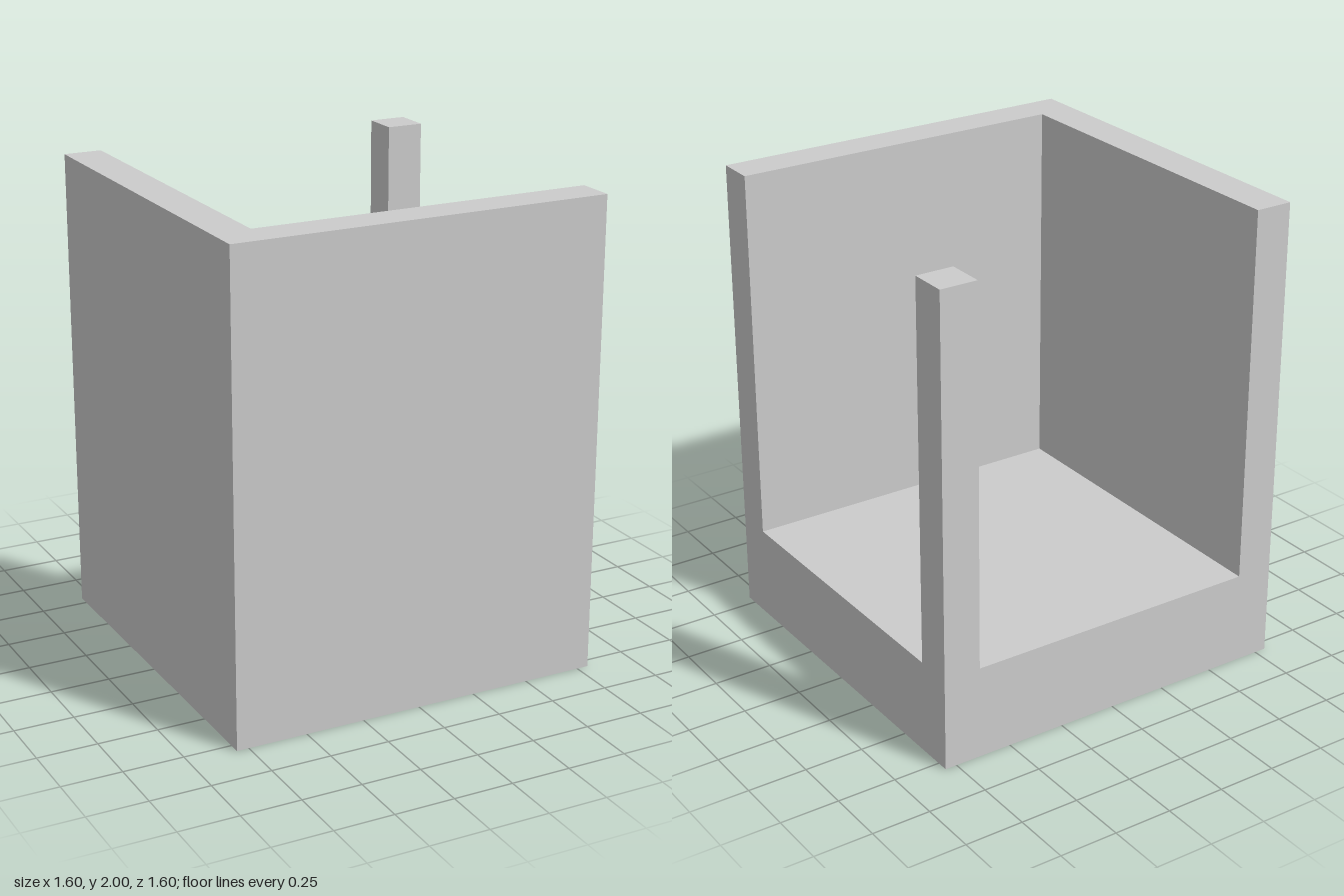
import * as THREE from 'three';

const HALF = 0.8;   // half the footprint
const INNER = 0.64; // inner wall faces
const FLOOR = 0.4;  // top of the base
const TOP = 2;

export function createModel() {
  const group = new THREE.Group();
  const material = new THREE.MeshStandardMaterial({ color: 0xcccccc, flatShading: true });

  // Upright prism over a plan outline of [x, z] corners
  const prism = (name, outline, bottom, top) => {
    const shape = new THREE.Shape(outline.map(([x, z]) => new THREE.Vector2(x, -z)));
    const geometry = new THREE.ExtrudeGeometry(shape, { depth: top - bottom, bevelEnabled: false });
    geometry.rotateX(-Math.PI / 2).translate(0, bottom, 0);
    const mesh = new THREE.Mesh(geometry, material);
    mesh.name = name;
    group.add(mesh);
  };
  const rect = (x0, x1, z0, z1) => [[x0, z1], [x1, z1], [x1, z0], [x0, z0]];

  // Thick square base
  prism('base', rect(-HALF, HALF, -HALF, HALF), 0, FLOOR);

  // L-shaped wall closing the front and the -x side
  prism('cornerWall', [
    [-HALF, HALF], [HALF, HALF], [HALF, INNER],
    [-INNER, INNER], [-INNER, -HALF], [-HALF, -HALF],
  ], FLOOR, TOP);

  // Free-standing post at the open back corner
  prism('cornerPost', rect(INNER, HALF, -HALF, -INNER), FLOOR, TOP);

  return group;
}
